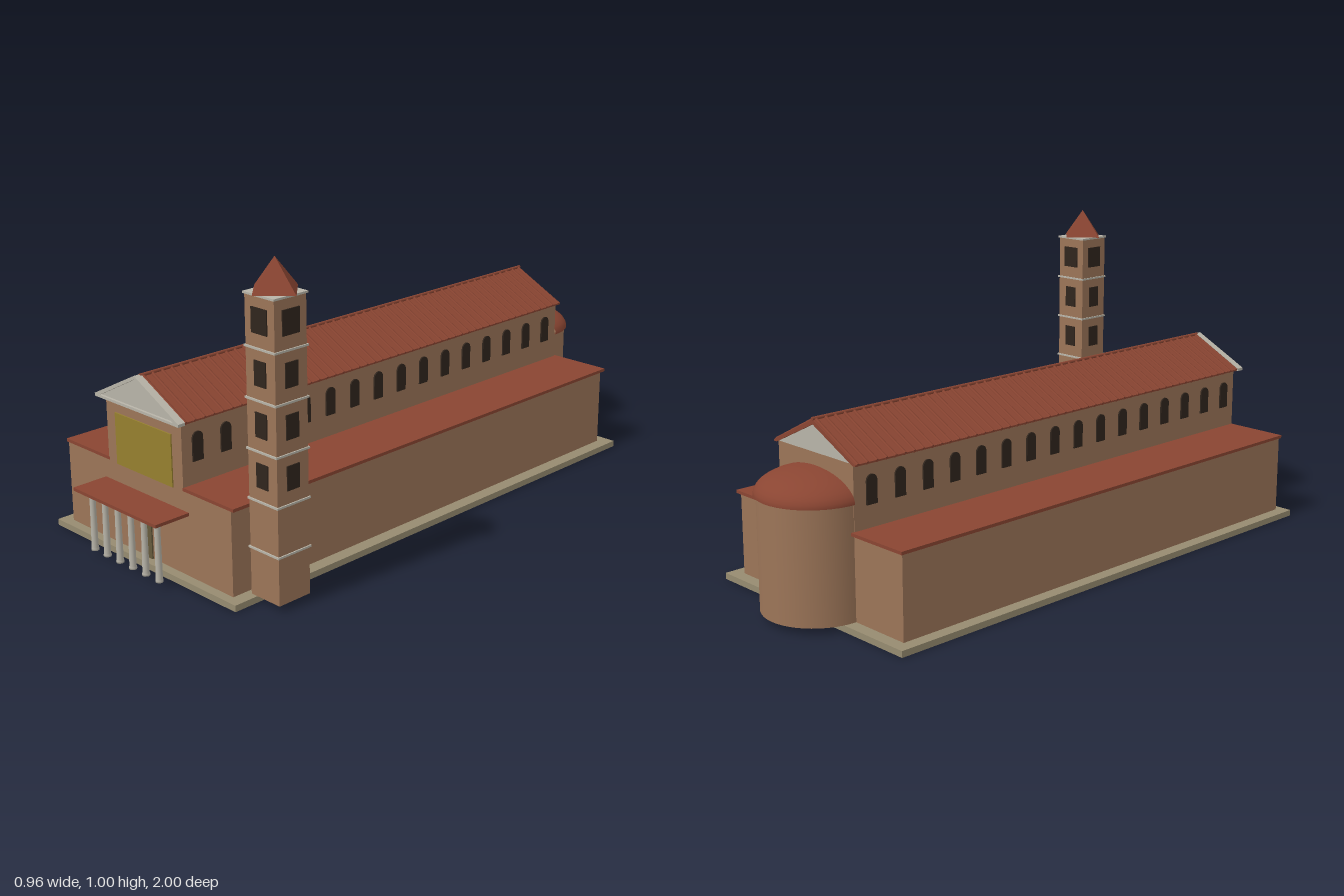
import * as THREE from 'three';

const mat = (color, side = THREE.FrontSide) => new THREE.MeshStandardMaterial({ color, side });
const CX = -0.06; // axis of the nave

export function createModel() {
  const root = new THREE.Group();
  const wall = mat(0x9c7558), tile = mat(0x8a4532, THREE.DoubleSide), stone = mat(0x968b70);
  const marble = mat(0xb8b4a8), gold = mat(0x96802f), dark = mat(0x30251d), wood = mat(0x665a3c);

  const add = (name, geo, material, x = 0, y = 0, z = 0, parent = root) => {
    const m = new THREE.Mesh(geo, material);
    m.name = name;
    m.position.set(x, y, z);
    parent.add(m);
    return m;
  };
  // Box given by its extents
  const box = (name, material, x0, x1, y0, y1, z0, z1, parent = root) =>
    add(name, new THREE.BoxGeometry(x1 - x0, y1 - y0, z1 - z0), material,
      (x0 + x1) / 2, (y0 + y1) / 2, (z0 + z1) / 2, parent);
  const group = (name) => {
    const g = new THREE.Group();
    g.name = name;
    root.add(g);
    return g;
  };
  // Polygon in the xy plane, centred on the nave axis, extruded from z0 to z1
  const prism = (name, material, pts, z0, z1, parent = root) => {
    const shape = new THREE.Shape(pts.map(([x, y]) => new THREE.Vector2(x, y)));
    return add(name, new THREE.ExtrudeGeometry(shape, { depth: z1 - z0, bevelEnabled: false }),
      material, CX, 0, z0, parent);
  };

  // Plinth, aisles and nave
  box('plinth', stone, -0.48, 0.363, 0, 0.02, -0.86, 0.91);
  box('aisleWalls', wall, -0.44, 0.32, 0.02, 0.28, -0.82, 0.88);
  box('naveWalls', wall, CX - 0.174, CX + 0.174, 0.02, 0.488, -0.82, 0.88);
  for (const s of [-1, 1]) {
    const a = CX + s * 0.17, b = CX + s * 0.39;
    box('aisleRoof', tile, Math.min(a, b), Math.max(a, b), 0.28, 0.29, -0.83, 0.88);
  }

  // Nave roof: chevron slab, tile ribs and ridge
  const roof = group('naveRoof');
  const EX = 0.19, EY = 0.485, RY = 0.583;
  prism('roofSlab', tile, [[-EX, EY], [-EX + 0.012, EY], [0, RY - 0.012], [EX - 0.012, EY],
    [EX, EY], [EX, EY + 0.005], [0, RY + 0.003], [-EX, EY + 0.005]], -0.825, 0.885, roof);
  const slope = Math.atan2(RY - EY, EX), len = Math.hypot(EX, RY - EY);
  const rib = new THREE.CylinderGeometry(0.006, 0.006, len, 6);
  for (let i = 0; i < 50; i++) {
    for (const s of [-1, 1]) {
      const r = add('tileRib', rib, tile, CX + s * EX / 2, (EY + RY) / 2 + 0.003,
        -0.815 + i * 1.69 / 49, roof);
      r.rotation.z = s * (Math.PI / 2 - slope);
    }
  }
  add('ridge', new THREE.CylinderGeometry(0.006, 0.006, 1.712, 8), tile, CX, 0.587, 0.03, roof)
    .rotation.x = Math.PI / 2;

  // Pediments: rear gable wall, front gable with raised frame
  const gable = [[-0.175, 0.488], [0.175, 0.488], [0, 0.576]];
  prism('rearGable', marble, gable, -0.82, -0.81);
  const ped = group('pediment');
  prism('tympanum', marble, [[-0.19, 0.486], [0.19, 0.486], [0, 0.585]], 0.88, 0.897, ped);
  box('cornice', marble, CX - 0.194, CX + 0.194, 0.484, 0.492, 0.88, 0.905, ped);
  for (const s of [-1, 1]) {
    const pts = [[s * 0.194, 0.486], [s * 0.194, 0.493], [0, 0.591], [0, 0.58], [s * 0.175, 0.49]];
    prism('rake', marble, pts, 0.88, 0.905, ped);
  }

  // Arched clerestory windows
  const arch = new THREE.Shape();
  arch.moveTo(-0.019, 0.36);
  arch.lineTo(0.019, 0.36);
  arch.lineTo(0.019, 0.43);
  arch.absarc(0, 0.43, 0.019, 0, Math.PI, false);
  arch.closePath();
  const archGeo = new THREE.ExtrudeGeometry(arch, { depth: 0.358, bevelEnabled: false, curveSegments: 8 });
  archGeo.translate(0, 0, -0.179).rotateY(Math.PI / 2);
  const windows = group('clerestoryWindows');
  for (let i = 0; i < 16; i++) add('archedWindowPair', archGeo, dark, CX, 0, -0.757 + i * 0.1054, windows);

  // Apse with a flattened half dome
  const apse = group('apse');
  add('apseWall', new THREE.CylinderGeometry(0.172, 0.172, 0.355, 24, 1, false, Math.PI / 2, Math.PI),
    wall, CX, 0.1975, -0.82, apse);
  add('apseDome', new THREE.SphereGeometry(0.18, 24, 10, Math.PI, Math.PI, 0, Math.PI / 2),
    tile, CX, 0.372, -0.82, apse).scale.y = 0.43;
  add('apseDomeUnderside', new THREE.CircleGeometry(0.18, 24, 0, Math.PI), tile, CX, 0.372, -0.82, apse)
    .rotation.x = -Math.PI / 2;

  // Facade: mosaic panel and door
  box('facadePanel', gold, -0.19, 0.07, 0.28, 0.442, 0.875, 0.884);
  box('door', wood, CX - 0.022, CX + 0.022, 0.02, 0.185, 0.875, 0.885);

  // Portico
  const portico = group('portico');
  box('porticoRoof', tile, -0.254, 0.135, 0.21, 0.22, 0.88, 1.0, portico);
  const profile = [[0, 0.02], [0.012, 0.02], [0.012, 0.026], [0.0105, 0.03], [0.009, 0.185],
    [0.0125, 0.195], [0.0125, 0.203], [0, 0.203]];
  const column = new THREE.LatheGeometry(profile.map(([x, y]) => new THREE.Vector2(x, y)), 12);
  for (let i = 0; i < 6; i++) add('column', column, marble, -0.213 + i * 0.0614, 0, 0.963, portico);

  // Bell tower: shaft, string courses, openings and a pyramid turned to the diagonal
  const tower = group('bellTower');
  const TX = 0.397, TZ = 0.77, H = 0.058;
  box('shaft', wall, TX - H, TX + H, 0.02, 0.9, TZ - H, TZ + H, tower);
  for (let i = 0; i < 6; i++) {
    const y = 0.166 + i * 0.1472;
    add('stringCourse', new THREE.BoxGeometry(0.124, 0.006, 0.124), marble, TX, y, TZ, tower);
    if (i < 1 || i > 4) continue;
    const w = i === 4 ? 0.062 : 0.046, d = 2 * H + 0.007;
    add('openingFrontBack', new THREE.BoxGeometry(w, 0.072, d), dark, TX, y + 0.078, TZ, tower);
    add('openingSides', new THREE.BoxGeometry(d, 0.072, w), dark, TX, y + 0.078, TZ, tower);
  }
  const spire = new THREE.ConeGeometry(0.083, 0.094, 4).toNonIndexed();
  spire.computeVertexNormals();
  add('towerRoof', spire, tile, TX, 0.953, TZ, tower);

  return root;
}
